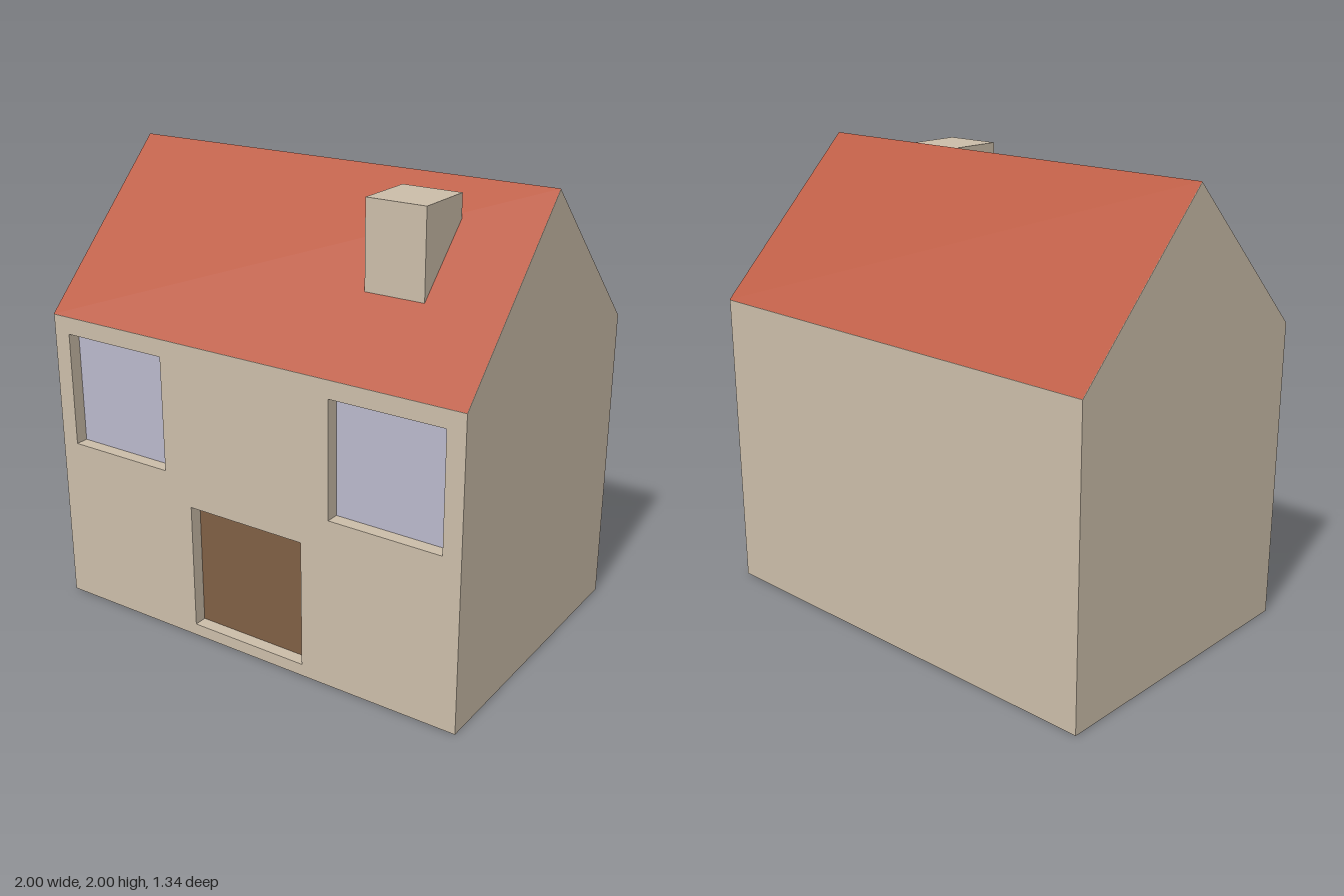
import * as THREE from 'three';

const W = 2, D = 0.667, EAVE = 1.333, RIDGE = 2, RECESS = 0.06;

const material = (name, color) => {
  const m = new THREE.MeshStandardMaterial({ color });
  m.name = name;
  return m;
};

function polygon(points) {
  return new THREE.Shape(points.map(([x, y]) => new THREE.Vector2(x, y)));
}

function rectPoints({ x0, x1, y0, y1 }) {
  return [[x0, y0], [x1, y0], [x1, y1], [x0, y1]];
}

export function createModel() {
  const house = new THREE.Group();
  house.name = 'house';
  const wall = material('beige wall', 0xcbbda9);
  const tile = material('red roof', 0xbd5d45);
  const glass = material('pale blue glass', 0xbab8cb);
  const wood = material('brown wood', 0x7f5f44);

  const add = (name, geometry, mat) => {
    const mesh = new THREE.Mesh(geometry, mat);
    mesh.name = name;
    house.add(mesh);
    return mesh;
  };

  // Gabled body, cut back below the front eave to take the front wall
  const inner = D - RECESS;
  const profile = polygon([
    [-D, 0], [inner, 0], [inner, EAVE], [D, EAVE], [0, RIDGE], [-D, EAVE],
  ]);
  const body = new THREE.ExtrudeGeometry(profile, { depth: W, bevelEnabled: false });
  body.rotateY(-Math.PI / 2).translate(W / 2, 0, 0);
  add('body', body, wall);

  // Front wall with openings for the windows and the door
  const openings = [
    { name: 'rightWindow', x0: -0.92, x1: -0.413, y0: 0.75, y1: 1.257, mat: glass },
    { name: 'leftWindow', x0: 0.413, x1: 0.92, y0: 0.75, y1: 1.257, mat: glass },
    { name: 'door', x0: -0.28, x1: 0.28, y0: 0.053, y1: 0.615, mat: wood },
  ];
  const front = polygon(rectPoints({ x0: -W / 2, x1: W / 2, y0: 0, y1: EAVE }));
  for (const o of openings) front.holes.push(polygon(rectPoints(o)));
  const frontWall = new THREE.ExtrudeGeometry(front, { depth: RECESS, bevelEnabled: false });
  add('frontWall', frontWall.translate(0, 0, inner), wall);

  // Panes and door leaf set at the back of their openings
  for (const o of openings) {
    const pane = new THREE.PlaneGeometry(o.x1 - o.x0, o.y1 - o.y0);
    add(o.name, pane, o.mat).position.set((o.x0 + o.x1) / 2, (o.y0 + o.y1) / 2, inner + 0.003);
  }

  // Two roof slopes laid just over the gable
  const slope = Math.hypot(D, RIDGE - EAVE);
  const pitch = Math.atan2(RIDGE - EAVE, D);
  for (const [name, side] of [['frontRoof', 1], ['backRoof', -1]]) {
    const plane = new THREE.PlaneGeometry(W, slope).rotateX(-Math.PI / 2);
    const mesh = add(name, plane, tile);
    mesh.rotation.x = side * pitch;
    mesh.position.set(0, (EAVE + RIDGE) / 2 + 0.002, side * (D / 2 + 0.002));
  }

  // Chimney rising out of the front slope
  const chimney = new THREE.BoxGeometry(0.263, 0.47, 0.265);
  add('chimney', chimney, wall).position.set(0.532, 1.735, 0.267);

  return house;
}
